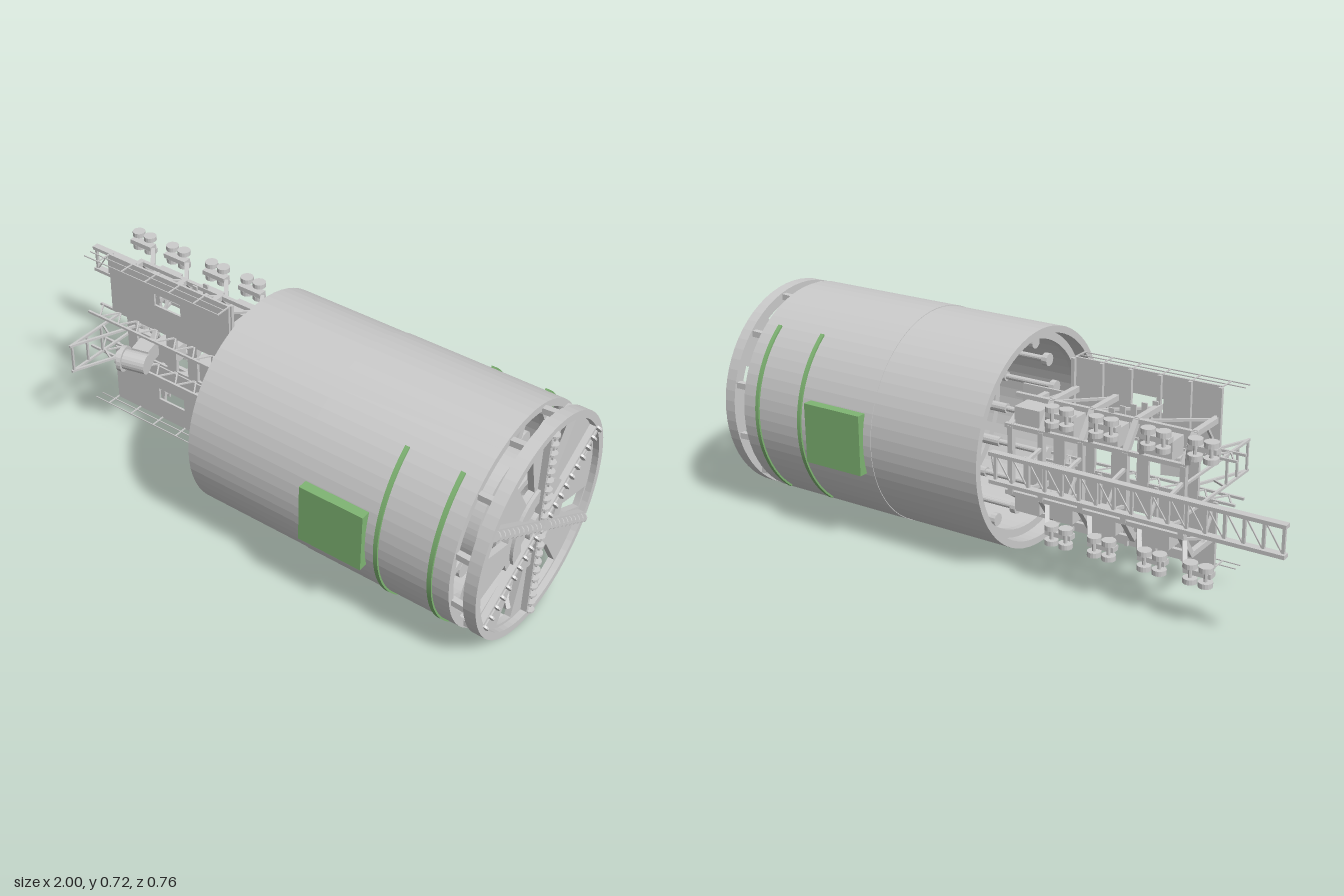
import * as THREE from 'three';

const CY = 0.363; // height of the machine axis
const grey = new THREE.MeshStandardMaterial({ color: 0xcccccc, flatShading: true, side: THREE.DoubleSide });
const green = new THREE.MeshStandardMaterial({ color: 0x7fb573, flatShading: true, side: THREE.DoubleSide });

export function createModel() {
  const model = new THREE.Group();
  model.name = 'tunnelBoringMachine';

  const part = (name) => {
    const g = new THREE.Group();
    g.name = name;
    model.add(g);
    return g;
  };
  const add = (parent, name, geo, x = 0, y = 0, z = 0, mat = grey) => {
    const m = new THREE.Mesh(geo, mat);
    m.name = name;
    m.position.set(x, y, z);
    parent.add(m);
    return m;
  };
  // box given by its limits
  const box = (parent, name, x0, x1, y0, y1, z0, z1, mat) =>
    add(parent, name, new THREE.BoxGeometry(x1 - x0, y1 - y0, z1 - z0), (x0 + x1) / 2, (y0 + y1) / 2, (z0 + z1) / 2, mat);
  // square bar between two points
  const bar = (parent, name, a, b, t = 0.01) => {
    const p = new THREE.Vector3(...a), q = new THREE.Vector3(...b);
    const m = add(parent, name, new THREE.BoxGeometry(t, t, p.distanceTo(q)));
    m.position.copy(p).add(q).multiplyScalar(0.5);
    m.lookAt(q);
    return m;
  };
  // hollow ring around the machine axis
  const ring = (parent, name, x0, x1, rIn, rOut) => {
    const pts = [[rIn, x0], [rOut, x0], [rOut, x1], [rIn, x1], [rIn, x0]].map((p) => new THREE.Vector2(...p));
    const m = add(parent, name, new THREE.LatheGeometry(pts, 64), 0, CY, 0);
    m.rotation.z = -Math.PI / 2;
    return m;
  };
  const rod = (parent, name, x0, x1, y, z, r, sides = 12) => {
    const m = add(parent, name, new THREE.CylinderGeometry(r, r, x1 - x0, sides), (x0 + x1) / 2, y, z);
    m.rotation.z = -Math.PI / 2;
    return m;
  };
  // point on a circle about the axis, angle from +z upwards
  const polar = (x, r, a) => [x, CY + r * Math.sin(a), r * Math.cos(a)];
  // flat shape facing +x
  const plate = (parent, name, shape, x, depth, mat) => {
    const geo = new THREE.ExtrudeGeometry(shape, { depth, bevelEnabled: false, curveSegments: 48 });
    const m = add(parent, name, geo, x, CY, 0, mat);
    m.rotation.y = Math.PI / 2;
    return m;
  };
  const rad = THREE.MathUtils.degToRad;
  const sector = (Type, r0, r1, a0, a1) => {
    const s = new Type();
    s.absarc(0, 0, r1, rad(a0), rad(a1), false);
    s.absarc(0, 0, r0, rad(a1), rad(a0), true);
    s.closePath();
    return s;
  };

  // shield shells and stiffening rings
  const shield = part('shield');
  ring(shield, 'rearShell', -0.03, 0.37, 0.337, 0.36);
  ring(shield, 'frontShell', 0.37, 0.9, 0.337, 0.362);
  for (const x of [0.02, 0.36, 0.8]) ring(shield, 'innerRib', x, x + 0.02, 0.31, 0.34);

  // grippers and sealing bands on both flanks
  const flank = part('grippers');
  for (const s of [1, -1]) {
    box(flank, 'gripperPad', 0.4, 0.62, 0.265, 0.465, s > 0 ? 0.33 : -0.38, s > 0 ? 0.38 : -0.33, green);
    const c = s > 0 ? 180 : 0;
    for (const x of [0.652, 0.832])
      plate(flank, 'sideBand', sector(THREE.Shape, 0.325, 0.368, c - 51, c + 51), x, 0.014, green);
  }

  // cutter head: perforated face, rim, hub, spokes and cutters
  const head = part('cutterHead');
  const face = new THREE.Shape().absarc(0, 0, 0.345, 0, Math.PI * 2);
  for (const [a0, a1, r0] of [[58, 75, 0.15], [14, 26, 0.17]])
    for (const b of [[a0, a1], [180 - a1, 180 - a0], [180 + a0, 180 + a1], [360 - a1, 360 - a0]])
      face.holes.push(sector(THREE.Path, r0, 0.325, ...b));
  plate(head, 'facePlate', face, 0.945, 0.02);
  ring(head, 'rim', 0.945, 0.985, 0.335, 0.36);
  ring(head, 'hubRing', 0.95, 0.975, 0.1, 0.145);
  ring(head, 'hub', 0.9, 0.98, 0.0, 0.06);
  for (let i = 0; i < 6; i++) {
    const spoke = new THREE.Group();
    spoke.name = 'spoke';
    spoke.position.set(0, CY, 0);
    spoke.rotation.x = i * Math.PI / 3 + (i % 3 === 0 ? 0 : (i % 3 === 1 ? -0.02 : 0.02));
    head.add(spoke);
    for (const s of [1, -1]) box(spoke, 'spokeRail', 0.955, 0.985, 0.03, 0.345, s * 0.013 - 0.006, s * 0.013 + 0.006);
    for (let r = 0.04; r < 0.35; r += 0.033) {
      const c = add(spoke, 'discCutter', new THREE.CylinderGeometry(0.016, 0.016, 0.007, 12), 0.984, r, 0);
      c.rotation.y = 0.2;
      box(spoke, 'cutterMount', 0.955, 0.98, r + 0.007, r + 0.022, -0.008, 0.008);
    }
  }
  for (let i = 0; i < 12; i++) {
    const a = (i + 0.5) * Math.PI / 6;
    bar(head, 'rimStrut', polar(0.88, 0.34, a), polar(0.96, 0.345, a), 0.02);
    if (i % 2) bar(head, 'backArm', polar(0.89, 0.18, a), polar(0.95, 0.3, a), 0.018);
  }

  // drive ring, motors and thrust jacks inside the shield
  const drive = part('drive');
  ring(drive, 'driveRing', 0.78, 0.88, 0.175, 0.195);
  ring(drive, 'bearing', 0.74, 0.92, 0.12, 0.145);
  ring(drive, 'supportRing', 0.45, 0.48, 0.18, 0.2);
  for (let i = 0; i < 8; i++) {
    const a = (i + 0.5) * Math.PI / 4;
    const [, y, z] = polar(0, 0.225, a);
    rod(drive, 'motor', 0.58, 0.76, y, z, 0.025, 16);
    rod(drive, 'gearbox', 0.76, 0.8, y, z, 0.032, 16);
    bar(drive, 'radialStrut', polar(0.465, 0.19, a), polar(0.465, 0.34, a), 0.025);
    bar(drive, 'bearingStrut', polar(0.83, 0.13, a), polar(0.83, 0.34, a), 0.025);
  }
  for (let i = 0; i < 16; i++) {
    const [, y, z] = polar(0, 0.3, (i + 0.5) * Math.PI / 8);
    rod(drive, 'thrustJack', 0.3, 0.62, y, z, 0.017);
    rod(drive, 'jackRod', 0.12, 0.3, y, z, 0.01);
    rod(drive, 'jackShoe', 0.1, 0.12, y, z, 0.022);
  }

  // trailing deck: two mirrored platforms, each with an access opening
  const deck = part('deck');
  for (const s of [1, -1]) {
    const p = new THREE.Shape([[-0.65, 0.075], [-0.65, 0.292], [-0.15, 0.292], [-0.15, 0.075]].map((q) => new THREE.Vector2(...q)));
    p.holes.push(new THREE.Path([[-0.46, 0.17], [-0.35, 0.17], [-0.35, 0.215], [-0.46, 0.215]].map((q) => new THREE.Vector2(...q))));
    const m = add(deck, 'platform', new THREE.ExtrudeGeometry(p, { depth: 0.008, bevelEnabled: false }), 0, CY, 0.0);
    m.scale.y = s;
    const Y = (v) => CY + s * v;
    add(deck, 'innerPlatform', new THREE.BoxGeometry(0.2, 0.09, 0.008), -0.06, Y(0.125), 0.004);
    // steps in the opening
    for (let i = 0; i < 5; i++) add(deck, 'step', new THREE.BoxGeometry(0.018, 0.04, 0.006), -0.445 + i * 0.02, Y(0.192), -0.02 - i * 0.03);
    // edge railing with lattice
    for (const z of [0.03, 0.06]) bar(deck, 'handrail', [-0.71, Y(0.29), z], [-0.15, Y(0.29), z], 0.003);
    for (let x = -0.65; x < -0.14; x += 0.1) {
      bar(deck, 'railPost', [x, Y(0.29), 0], [x, Y(0.29), 0.062], 0.004);
      bar(deck, 'joist', [x, Y(0.07), -0.006], [x, Y(0.29), -0.006], 0.012);
    }
    // inner girder lattice
    for (const z of [0.0, 0.06]) bar(deck, 'girderChord', [-0.71, Y(0.07), z], [-0.03, Y(0.07), z], 0.008);
    for (let x = -0.7; x < -0.08; x += 0.08) {
      bar(deck, 'girderBrace', [x, Y(0.07), 0], [x + 0.04, Y(0.07), 0.06], 0.005);
      bar(deck, 'girderBrace', [x + 0.04, Y(0.07), 0.06], [x + 0.08, Y(0.07), 0], 0.005);
    }
  }
  for (const x of [-0.57, -0.4, -0.31, -0.21, -0.1]) box(deck, 'crossTie', x - 0.02, x + 0.02, 0.29, 0.436, -0.008, 0.004);

  // portal frames carrying the deck
  const frames = part('portalFrames');
  const xs = [-0.64, -0.45, -0.3, -0.16, -0.05];
  xs.forEach((x, i) => {
    for (const s of [1, -1]) {
      const Y = (v) => CY + s * v, w = i === 4 ? 0.15 : 0.19;
      bar(frames, 'leg', [x, Y(w), 0], [x, Y(w), -0.14], 0.018);
      bar(frames, 'kneeBrace', [x, Y(w), -0.14], [x, Y(0.11), -0.2], 0.018);
      bar(frames, 'rung', [x, Y(w), -0.07], [x, Y(0.1), 0], 0.008);
      if (i < 4) bar(frames, 'sideBrace', [x, Y(w), -0.01], [xs[i + 1], Y(i === 3 ? 0.15 : w), -0.14], 0.008);
    }
    bar(frames, 'crossBeam', [x, CY - 0.11, -0.2], [x, CY + 0.11, -0.2], 0.018);
  });
  for (const s of [1, -1]) for (const [v, z] of [[0.11, -0.2], [0.19, -0.14]])
    bar(frames, 'sill', [-0.65, CY + s * v, z], [-0.03, CY + s * v, z], 0.014);

  // wheel bogies and equipment boxes beneath the frames
  const under = part('underframe');
  for (const s of [1, -1]) {
    const y = CY + s * 0.19;
    for (const x of [-0.72, -0.57, -0.4, -0.25]) {
      box(under, 'bogieFrame', x - 0.04, x + 0.05, y - 0.008, y + 0.008, -0.245, -0.215);
      bar(under, 'bogieArm', [x + 0.05, y, -0.23], [x + 0.07, CY + s * 0.12, -0.2], 0.014);
      for (const dx of [-0.025, 0.025]) {
        add(under, 'wheel', new THREE.CylinderGeometry(0.022, 0.022, 0.016, 16), x + dx, y + 0.024, -0.245);
        add(under, 'wheel', new THREE.CylinderGeometry(0.022, 0.022, 0.016, 16), x + dx, y - 0.024, -0.245);
        add(under, 'axle', new THREE.CylinderGeometry(0.006, 0.006, 0.06, 8), x + dx, y, -0.245);
      }
    }
    for (const x of [-0.55, -0.37, -0.22, -0.1])
      box(under, 'equipmentBox', x - 0.045, x + 0.045, CY + s * 0.14 - 0.03, CY + s * 0.14 + 0.03, -0.19, -0.12);
  }

  // service track trailing behind
  const track = part('track');
  for (const s of [1, -1]) {
    box(track, 'trackRail', -1, -0.03, CY + s * 0.045 - 0.006, CY + s * 0.045 + 0.006, -0.295, -0.27);
  }
  for (let i = 0; i < 17; i++) {
    const x = -0.99 + i * 0.059;
    bar(track, 'sleeper', [x, CY - 0.045, -0.28], [x, CY + 0.045, -0.28], 0.009);
    bar(track, 'trackBrace', [x, CY - 0.045, -0.28], [Math.min(x + 0.059, -0.03), CY + 0.045, -0.28], 0.004);
  }
  for (const x of [-0.64, -0.45, -0.3, -0.16]) for (const s of [1, -1])
    bar(track, 'trackHanger', [x, CY + s * 0.045, -0.28], [x, CY + s * 0.06, -0.2], 0.01);

  // end gantry and ventilation drum above the deck
  const gantry = part('endGantry');
  for (const s of [1, -1]) {
    const y = CY + s * 0.05;
    bar(gantry, 'gantryPost', [-0.64, y, -0.2], [-0.64, y, 0.23], 0.008);
    bar(gantry, 'gantryBrace', [-0.64, y, 0.22], [-0.55, y, 0.01], 0.008);
    bar(gantry, 'gantryBrace', [-0.64, y, 0.07], [-0.585, y, 0.1], 0.006);
  }
  for (const z of [0.08, 0.15, 0.22]) bar(gantry, 'gantryTie', [-0.64, CY - 0.05, z], [-0.64, CY + 0.05, z], 0.007);
  const drum = new THREE.Group();
  drum.name = 'ventilationDrum';
  drum.position.set(-0.47, CY, 0.11);
  drum.rotation.y = 0.25;
  gantry.add(drum);
  rod(drum, 'drumBody', -0.03, 0.05, 0, 0, 0.034, 20);
  rod(drum, 'drumFlange', -0.045, -0.03, 0, 0, 0.044, 20);
  rod(drum, 'drumNozzle', -0.06, -0.045, 0, 0, 0.025, 20);
  box(drum, 'drumFoot', -0.02, 0.04, -0.03, 0.03, -0.1, -0.025);

  return model;
}
